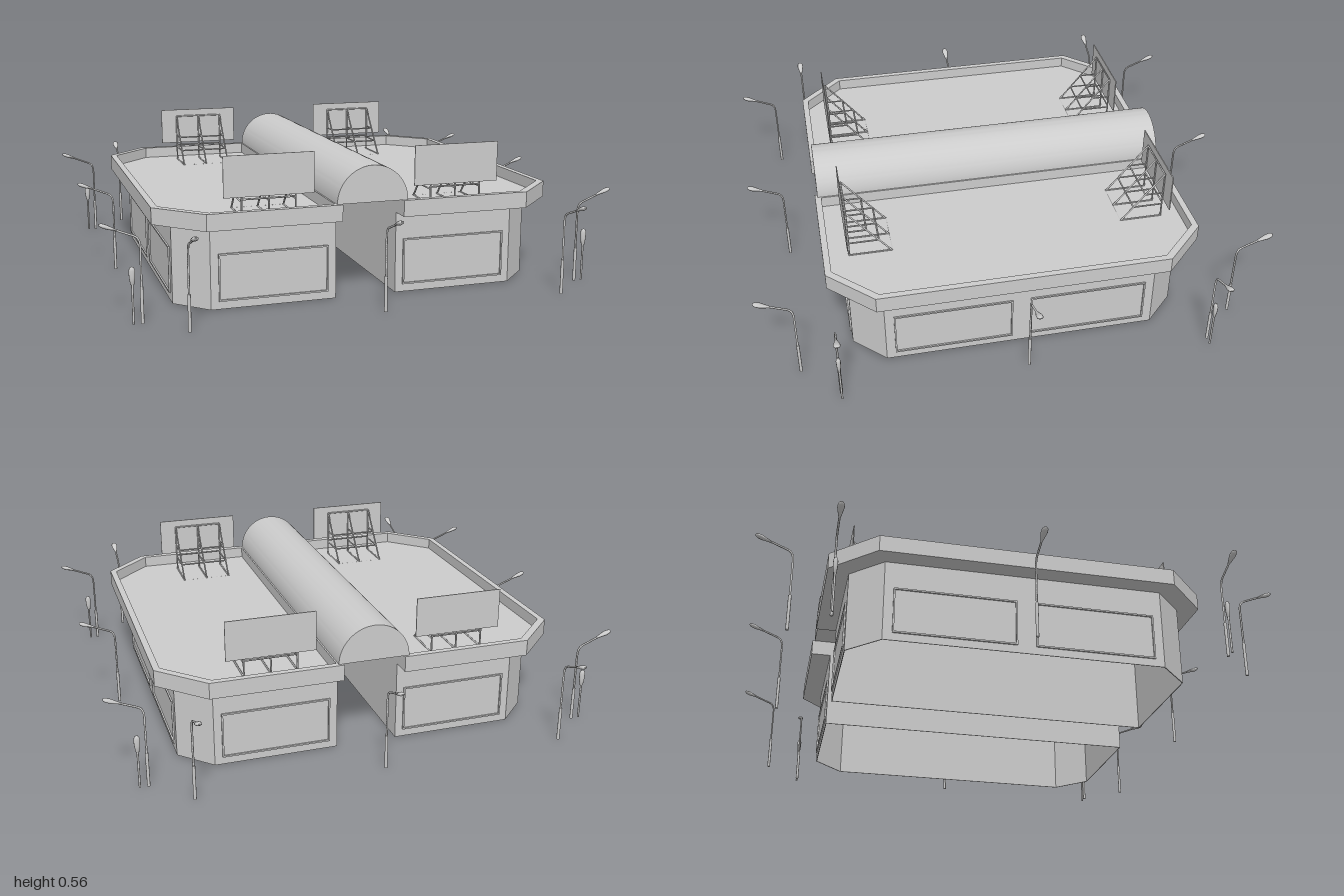
import * as THREE from 'three';
import { toCreasedNormals } from 'three/addons/utils/BufferGeometryUtils.js';

const grey = new THREE.MeshStandardMaterial({ color: 0xcccccc, side: THREE.DoubleSide });

function add(parent, name, geometry, x = 0, y = 0, z = 0) {
  const mesh = new THREE.Mesh(geometry, grey);
  mesh.name = name;
  mesh.position.set(x, y, z);
  parent.add(mesh);
  return mesh;
}

function group(parent, name) {
  const g = new THREE.Group();
  g.name = name;
  parent.add(g);
  return g;
}

// Straight round rod between two points
function rod(parent, name, a, b, r) {
  const from = new THREE.Vector3(...a), to = new THREE.Vector3(...b);
  const dir = to.clone().sub(from);
  const mesh = add(parent, name, new THREE.CylinderGeometry(r, r, dir.length(), 6));
  mesh.position.copy(from).add(to).multiplyScalar(0.5);
  mesh.quaternion.setFromUnitVectors(new THREE.Vector3(0, 1, 0), dir.normalize());
}

// Plan outline: straight on the passage side, two cut corners on the outer side
const outline = (x0, x1, z, cut) => [
  [x0, -z], [x1 - cut, -z], [x1, -z + cut], [x1, z - cut], [x1 - cut, z], [x0, z],
].map(([x, y]) => new THREE.Vector2(x, y));

function slab(outer, inner, height) {
  const shape = new THREE.Shape(outer);
  if (inner) shape.holes.push(new THREE.Path(inner));
  return new THREE.ExtrudeGeometry(shape, { depth: height, bevelEnabled: false }).rotateX(-Math.PI / 2);
}

// Raised rectangular frame standing in the xy plane
function panelFrame(parent, w, h, x, y, z, turn) {
  const t = 0.006;
  const shape = new THREE.Shape([[-w, -h], [w, -h], [w, h], [-w, h]].map(p => new THREE.Vector2(p[0] / 2, p[1] / 2)));
  const a = w / 2 - t, b = h / 2 - t;
  shape.holes.push(new THREE.Path([[-a, -b], [-a, b], [a, b], [a, -b]].map(p => new THREE.Vector2(...p))));
  add(parent, 'wallPanelFrame', new THREE.ExtrudeGeometry(shape, { depth: 0.006, bevelEnabled: false }), x, y, z).rotation.y = turn;
}

// Board with a braced frame behind it, facing +z
function billboard(parent) {
  const g = group(parent, 'billboard');
  const deck = 0.33, back = 0.46, front = 0.628, top = 0.535, r = 0.0035;
  const xs = [0.27, 0.372, 0.475];
  add(g, 'billboardPanel', new THREE.BoxGeometry(0.345, 0.155, 0.004), 0.372, 0.4875, 0.635);
  const slope = z => deck + (z - back) / (front - back) * (top - deck);
  for (const x of xs) {
    rod(g, 'framePost', [x, deck, front], [x, top, front], r);
    rod(g, 'frameBrace', [x, deck, back], [x, top, front], r);
    rod(g, 'frameFoot', [x, deck + 0.004, back], [x, deck + 0.004, front], r);
    for (const z of [0.51, 0.555]) rod(g, 'frameTie', [x, slope(z), z], [x, slope(z), front], r);
  }
  for (const z of [back, 0.51, 0.555, front])
    rod(g, 'frameRail', [xs[0], slope(z), z], [xs[2], slope(z), z], r);
  rod(g, 'frameRail', [xs[0], 0.4, front], [xs[2], 0.4, front], r);
  return g;
}

// Half of the building, on the +x side of the passage
function wing(parent, name) {
  const g = group(parent, name);
  add(g, 'walls', slab(outline(0.12, 0.72, 0.65, 0.12), outline(0.123, 0.717, 0.647, 0.119), 0.315));
  add(g, 'roofDeck', slab(outline(0.12, 0.795, 0.73, 0.168), null, 0.018), 0, 0.315, 0);
  add(g, 'parapet', slab(outline(0.12, 0.795, 0.73, 0.168), outline(0.145, 0.77, 0.705, 0.158), 0.045), 0, 0.333, 0);
  for (const s of [1, -1]) {
    panelFrame(g, 0.42, 0.18, 0.36, 0.12, s * 0.65, s > 0 ? 0 : Math.PI);
    panelFrame(g, 0.46, 0.18, 0.72, 0.12, s * 0.265, Math.PI / 2);
  }
  billboard(g);
  billboard(g).scale.z = -1;
  return g;
}

// Street lamp with its arm reaching along +x
function streetLamp(parent, turn, offset) {
  const holder = group(parent, 'streetLamp');
  holder.rotation.y = turn;
  const g = group(holder, 'lampBody');
  g.position.z = offset;
  add(g, 'lampBase', new THREE.CylinderGeometry(0.006, 0.006, 0.135, 8), 0.86, 0.0675, 0);
  const path = new THREE.CurvePath();
  const v = (x, y) => new THREE.Vector3(x, y, 0);
  path.add(new THREE.LineCurve3(v(0.86, 0.13), v(0.86, 0.275)));
  path.add(new THREE.CubicBezierCurve3(v(0.86, 0.275), v(0.86, 0.31), v(0.872, 0.316), v(0.888, 0.322)));
  path.add(new THREE.LineCurve3(v(0.888, 0.322), v(0.945, 0.345)));
  add(g, 'lampPole', new THREE.TubeGeometry(path, 32, 0.004, 6));
  // Drop-shaped head, wider at the tip
  const profile = [[0.003, 0], [0.007, 0.015], [0.013, 0.045], [0.012, 0.06], [0.007, 0.068], [0, 0.071]];
  const head = add(g, 'lampHead', new THREE.LatheGeometry(profile.map(p => new THREE.Vector2(...p)), 10), 0.934, 0.341, 0);
  head.scale.z = 1;
  head.scale.x = 0.6;
  head.rotation.z = -Math.PI / 2 + 0.38;
}

// Short post with a rounded meter head
function meterPost(parent, x, z) {
  const g = group(parent, 'meterPost');
  add(g, 'meterPole', new THREE.CylinderGeometry(0.004, 0.004, 0.15, 8), x, 0.075, z);
  const profile = [[0, 0], [0.007, 0], [0.011, 0.025], [0.012, 0.05], [0.008, 0.061], [0, 0.065]];
  add(g, 'meterHead', new THREE.LatheGeometry(profile.map(p => new THREE.Vector2(...p)), 10), x, 0.145, z).scale.z = 0.75;
}

export function createModel() {
  const model = new THREE.Group();
  model.name = 'building';

  wing(model, 'leftWing');
  wing(model, 'rightWing').rotation.y = Math.PI;

  // Barrel roof over the passage
  const arch = new THREE.Shape();
  arch.absarc(0, 0, 0.139, 0, Math.PI, false);
  arch.closePath();
  const vault = new THREE.ExtrudeGeometry(arch, { depth: 1.44, bevelEnabled: false, curveSegments: 24 });
  add(model, 'barrelRoof', toCreasedNormals(vault, 0.6), 0, 0.378, -0.72);

  // Three lamps along each side of the site
  for (let side = 0; side < 4; side++)
    for (const offset of [-0.72, 0, 0.72]) streetLamp(model, side * Math.PI / 2, offset);

  for (const x of [-0.892, 0.892]) for (const z of [-0.72, 0.72]) meterPost(model, x, z);

  return model;
}
